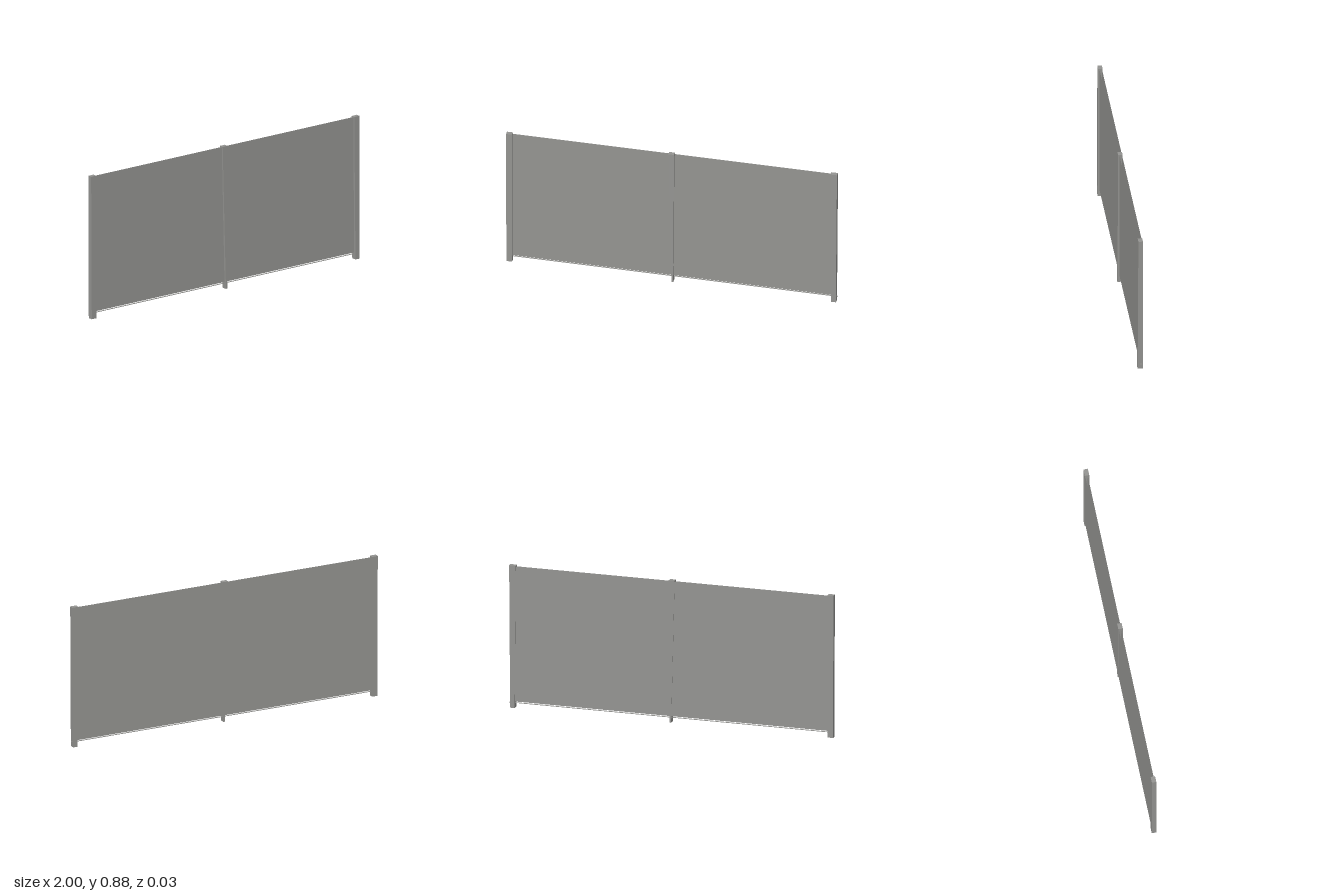
import * as THREE from 'three';

export function createModel() {
  const group = new THREE.Group();
  group.name = 'fence';
  const grey = new THREE.MeshStandardMaterial({ color: 0x949491, side: THREE.DoubleSide });
  grey.name = 'weathered grey';

  const add = (name, geometry, x, y, z) => {
    const mesh = new THREE.Mesh(geometry, grey);
    mesh.name = name;
    mesh.position.set(x, y, z);
    group.add(mesh);
    return mesh;
  };

  // Rough hewn post: a box whose bottom and top have their own x and z ranges
  const HEIGHT = 0.875;
  function addPost(name, bottom, top) {
    const geometry = new THREE.BoxGeometry(1, HEIGHT, 1);
    const p = geometry.attributes.position;
    for (let i = 0; i < p.count; i++) {
      const [x0, x1, z0, z1] = p.getY(i) > 0 ? top : bottom;
      p.setX(i, p.getX(i) > 0 ? x1 : x0);
      p.setZ(i, p.getZ(i) > 0 ? z1 : z0);
    }
    geometry.computeVertexNormals();
    add(name, geometry, 0, HEIGHT / 2, 0);
  }
  addPost('rightPost', [-0.997, -0.963, -0.015, 0.014], [-1, -0.963, -0.015, 0.012]);
  addPost('middlePost', [0, 0.01, -0.015, 0.016], [-0.021, 0.015, -0.015, 0.012]);
  addPost('leftPost', [0.964, 0.992, -0.015, 0.016], [0.958, 0.998, -0.015, 0.012]);

  // Front and back sheets of the two panels, open along top and bottom
  for (const [side, x] of [['right', -0.49], ['left', 0.49]]) {
    for (const [face, z] of [['Front', 0.003], ['Back', -0.012]]) {
      add(side + face + 'Sheet', new THREE.PlaneGeometry(0.98, 0.827), x, 0.4535, z);
    }
  }

  // Thin wire below the panels
  add('bottomWire', new THREE.BoxGeometry(1.98, 0.003, 0.006), 0.01, 0.031, -0.004);

  return group;
}
